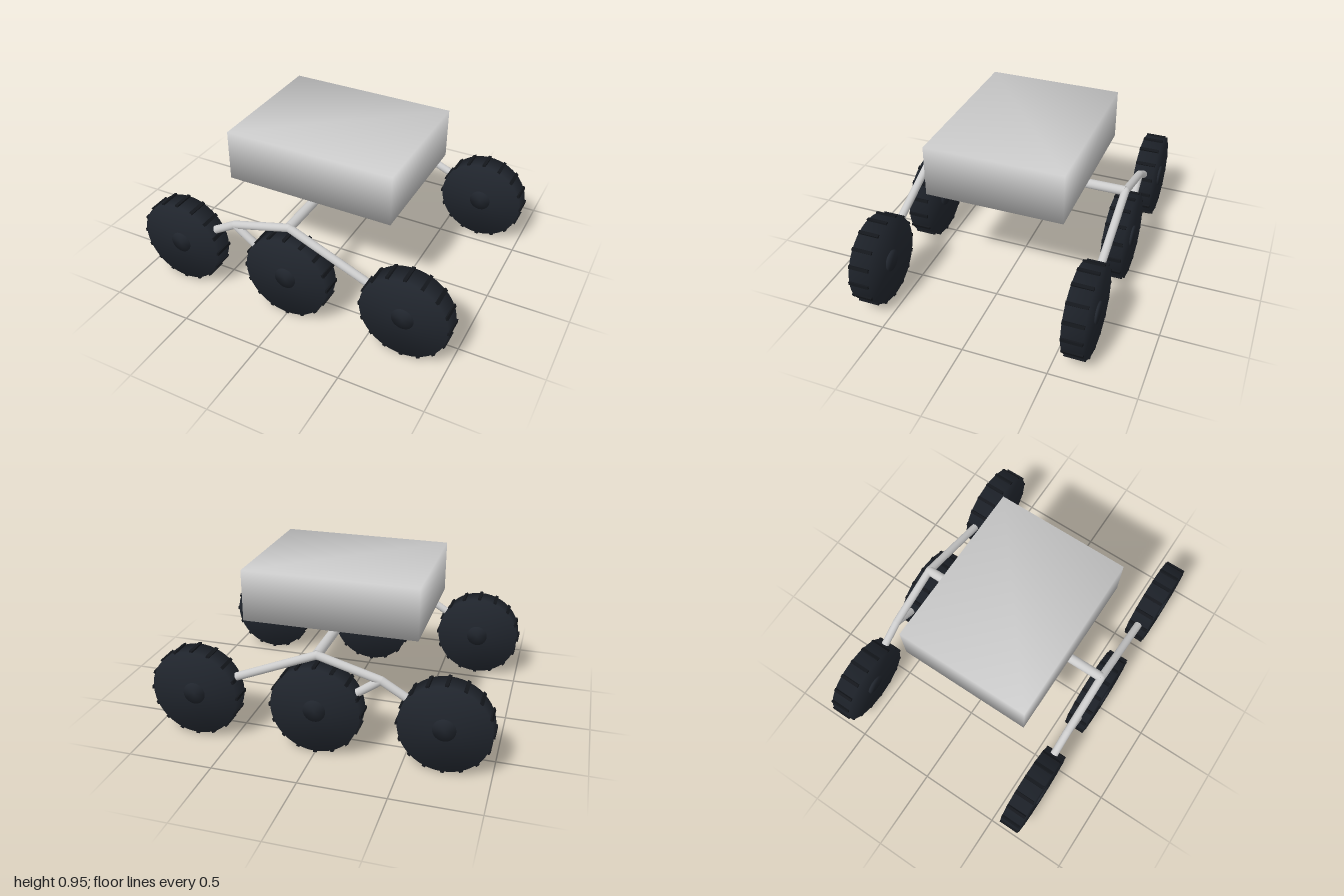
import * as THREE from 'three';
import { mergeVertices } from 'three/addons/utils/BufferGeometryUtils.js';

const grey = new THREE.MeshStandardMaterial({ color: 0xcccccc });
const rubber = new THREE.MeshStandardMaterial({ color: 0x20252d });
const tread = new THREE.MeshStandardMaterial({ color: 0x14171c });

// Share corner vertices so the shading runs softly across the edges
function soften(geometry) {
  geometry.deleteAttribute('normal');
  geometry.deleteAttribute('uv');
  const welded = mergeVertices(geometry, 1e-4);
  welded.computeVertexNormals();
  return welded;
}

function add(parent, name, geometry, material, x = 0, y = 0, z = 0) {
  const mesh = new THREE.Mesh(geometry, material);
  mesh.name = name;
  mesh.position.set(x, y, z);
  parent.add(mesh);
  return mesh;
}

// Round rod between two points
function rod(parent, name, a, b, radius) {
  const from = new THREE.Vector3(...a), to = new THREE.Vector3(...b);
  const dir = to.clone().sub(from);
  const mesh = add(parent, name, new THREE.CylinderGeometry(radius, radius, dir.length(), 24), grey);
  mesh.position.copy(from).add(to).multiplyScalar(0.5);
  mesh.quaternion.setFromUnitVectors(new THREE.Vector3(0, 1, 0), dir.normalize());
}

const disc = (radius, width, sides) =>
  soften(new THREE.CylinderGeometry(radius, radius, width, sides).rotateX(Math.PI / 2));

const WHEEL_RADIUS = 0.26;
const tyreGeometry = disc(WHEEL_RADIUS, 0.125, 48);
const hubGeometry = disc(0.065, 0.14, 32);
const lugGeometry = new THREE.BoxGeometry(0.02, 0.014, 0.125);

function createWheel(name) {
  const wheel = new THREE.Group();
  wheel.name = name;
  add(wheel, 'tyre', tyreGeometry, rubber);
  add(wheel, 'hub', hubGeometry, rubber);
  // Tread bars around the rim
  const lugs = 16;
  for (let i = 0; i < lugs; i++) {
    const t = (i / lugs) * Math.PI * 2;
    const r = WHEEL_RADIUS + 0.003;
    const lug = add(wheel, 'treadBar', lugGeometry, tread, Math.cos(t) * r, Math.sin(t) * r, 0);
    lug.rotation.z = t - Math.PI / 2;
  }
  return wheel;
}

// One side: three wheels with the rocker and bogie arms
function createSide(name, z) {
  const side = new THREE.Group();
  side.name = name;
  side.position.z = z;
  const radius = 0.024;
  const pivot = [0, 0.585, 0], elbow = [-0.365, 0.483, 0];
  rod(side, 'longRockerArm', pivot, [0.485, 0.383, 0], radius);
  rod(side, 'shortRockerArm', pivot, elbow, radius);
  rod(side, 'outerBogieArm', elbow, [-0.505, 0.4, 0], radius);
  rod(side, 'innerBogieArm', elbow, [-0.215, 0.375, 0], radius);
  for (const p of [pivot, elbow]) {
    add(side, 'armJoint', new THREE.SphereGeometry(radius, 24, 16), grey, ...p);
  }
  [[0.73, 'leftWheel'], [0, 'middleWheel'], [-0.73, 'rightWheel']].forEach(([x, label]) => {
    const wheel = createWheel(label);
    wheel.position.set(x, 0.27, 0);
    side.add(wheel);
  });
  return side;
}

export function createModel() {
  const rover = new THREE.Group();
  rover.name = 'rover';
  add(rover, 'body', soften(new THREE.BoxGeometry(1.04, 0.31, 0.83)), grey, 0, 0.795, 0);
  // Cross axle joining both sides
  rod(rover, 'crossAxle', [0, 0.585, -0.625], [0, 0.585, 0.625], 0.029);
  rover.add(createSide('frontSide', 0.627), createSide('backSide', -0.627));
  return rover;
}
